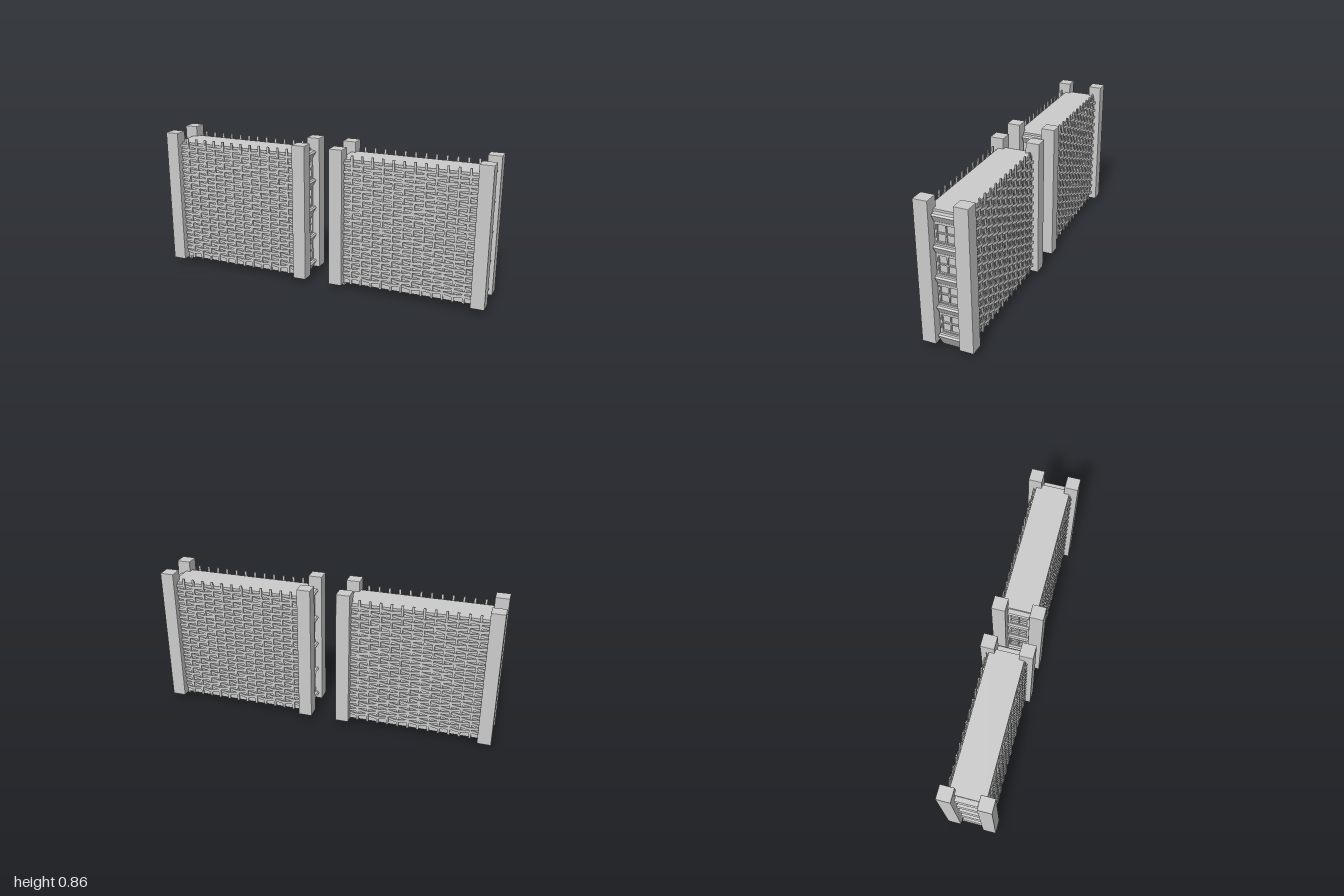
import * as THREE from 'three';
import { RoundedBoxGeometry } from 'three/addons/geometries/RoundedBoxGeometry.js';

const material = new THREE.MeshStandardMaterial({ color: 0xcccccc, flatShading: true });

function add(parent, name, geometry, x = 0, y = 0, z = 0) {
  const mesh = new THREE.Mesh(geometry, material);
  mesh.name = name;
  mesh.position.set(x, y, z);
  parent.add(mesh);
  return mesh;
}

const box = (w, h, d) => new THREE.BoxGeometry(w, h, d);

const POSTS = 12, SPACING = 0.061, HALF_SPAN = 0.383;
const ROWS = 28, PITCH = 0.0257, FLOOR = 0.174;

// Horizontal slat that waves in front of and behind the posts
function slatGeometry(phase) {
  const steps = 52, front = [], back = [];
  for (let i = 0; i <= steps; i++) {
    const x = -HALF_SPAN + (2 * HALF_SPAN * i) / steps;
    const wave = 0.0065 * phase * Math.cos((Math.PI * (x + SPACING / 2)) / SPACING + Math.PI / 1);
    front.push(new THREE.Vector2(x, 0.11 + wave + 0.0025));
    back.unshift(new THREE.Vector2(x, 0.11 + wave - 0.0025));
  }
  const geometry = new THREE.ExtrudeGeometry(new THREE.Shape([...front, ...back]),
    { depth: 0.017, bevelEnabled: false });
  return geometry.rotateX(Math.PI / 2);
}

// Woven screen: upright posts with alternating wavy slats
function wovenScreen() {
  const screen = new THREE.Group();
  screen.name = 'wovenScreen';
  const post = box(0.013, 0.78, 0.008);
  for (let i = 0; i < POSTS; i++) {
    add(screen, 'screenPost', post, (i - (POSTS - 1) / 2) * SPACING, 0.43, 0.11);
  }
  const slats = [slatGeometry(1), slatGeometry(-1)];
  for (let r = 0; r < ROWS; r++) {
    add(screen, 'screenSlat', slats[r % 2], 0, 0.088 + r * PITCH, 0);
  }
  return screen;
}

// Window with frame and crossing glazing bars, on the +x end
function windowUnit(y) {
  const unit = new THREE.Group();
  unit.name = 'window';
  unit.position.set(0.414, y, 0);
  for (const s of [-1, 1]) {
    add(unit, 'frameRail', box(0.018, 0.01, 0.12), 0, s * 0.058, 0);
    add(unit, 'frameStile', box(0.018, 0.106, 0.008), 0, 0, s * 0.056);
    add(unit, 'sashRail', box(0.012, 0.005, 0.104), 0, s * 0.0505, 0);
    add(unit, 'sashStile', box(0.012, 0.106, 0.005), 0, 0, s * 0.0495);
  }
  add(unit, 'glazingBar', box(0.01, 0.106, 0.007), 0, 0, 0);
  add(unit, 'glazingBar', box(0.01, 0.007, 0.1), 0, 0, 0);
  return unit;
}

// Sloping ledge: overhangs at the top and tapers in below
function ledgeGeometry() {
  const profile = new THREE.Shape([[0.396, 0], [0.4, 0], [0.444, 0.076], [0.437, 0.085], [0.396, 0.085]]
    .map(([x, y]) => new THREE.Vector2(x, y)));
  return new THREE.ExtrudeGeometry(profile, { depth: 0.124, bevelEnabled: false }).translate(0, 0, -0.062);
}

// End facade with four windows between five ledges
function endFacade() {
  const facade = new THREE.Group();
  facade.name = 'endFacade';
  const ledge = ledgeGeometry();
  for (let i = 0; i < 5; i++) {
    add(facade, 'ledge', ledge, 0, i * FLOOR, 0);
    if (i < 4) facade.add(windowUnit(0.148 + i * FLOOR));
  }
  return facade;
}

function createBlock() {
  const block = new THREE.Group();
  block.name = 'block';
  add(block, 'core', box(0.82, 0.753, 0.2), 0, 0.4165, 0);

  // Corner pillars
  const pillar = new RoundedBoxGeometry(0.08, 0.82, 0.08, 1, 0.003);
  for (const sx of [-1, 1]) {
    for (const sz of [-1, 1]) add(block, 'cornerPillar', pillar, sx * 0.4225, 0.445, sz * 0.108);
  }

  // Screens on the long sides, facades on the short ends
  for (const turn of [0, Math.PI]) {
    const screen = wovenScreen();
    const facade = endFacade();
    screen.rotation.y = facade.rotation.y = turn;
    block.add(screen, facade);
  }
  return block;
}

export function createModel() {
  const model = new THREE.Group();
  model.name = 'twinBlocks';
  for (const side of [-1, 1]) {
    const block = createBlock();
    block.position.x = side * 0.5375;
    model.add(block);
  }
  return model;
}
